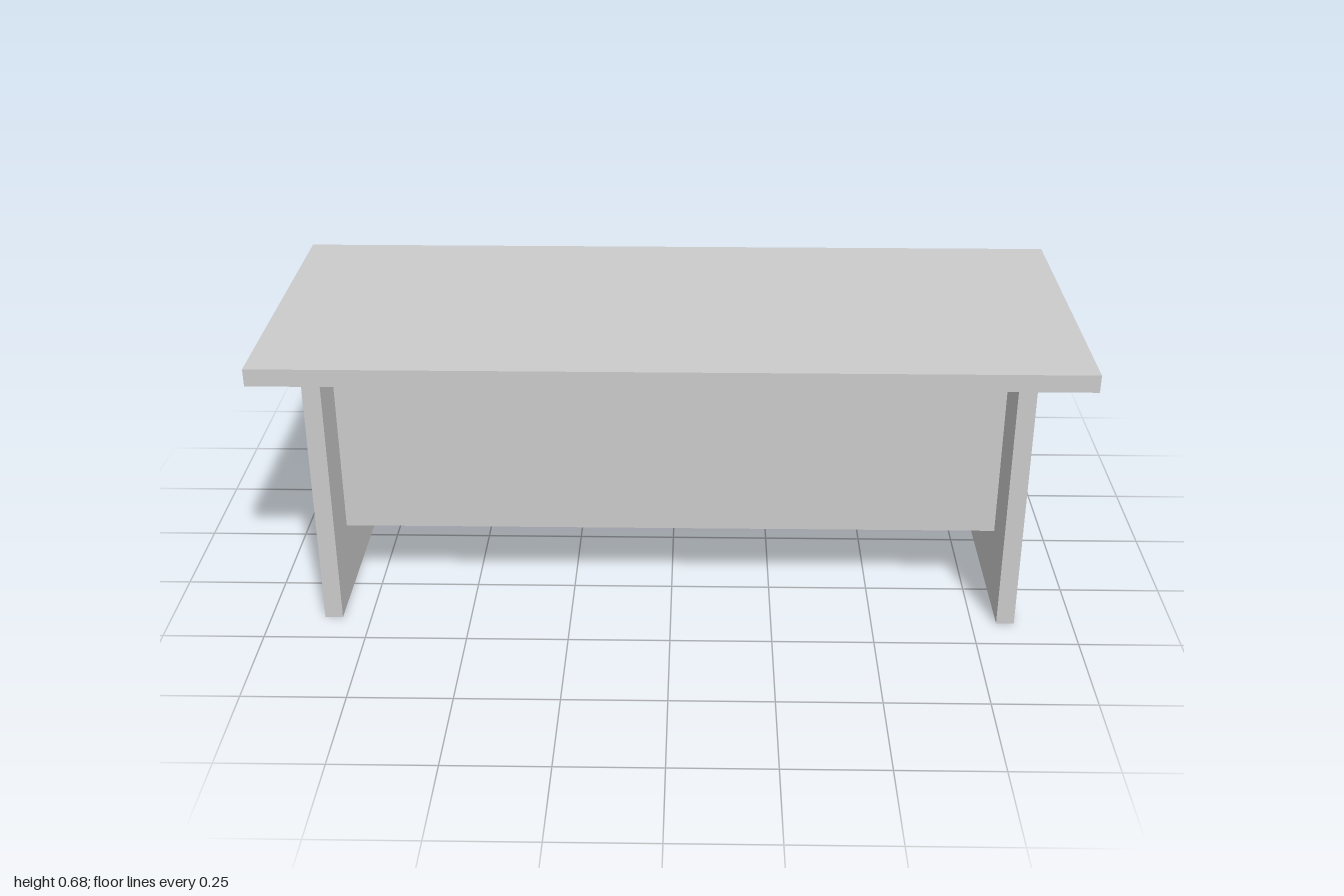
import * as THREE from 'three';

const material = new THREE.MeshStandardMaterial({ color: 0xcccccc });

// Box given by its minimum and maximum corners
function board(name, [x0, y0, z0], [x1, y1, z1]) {
  const geometry = new THREE.BoxGeometry(x1 - x0, y1 - y0, z1 - z0);
  const mesh = new THREE.Mesh(geometry, material);
  mesh.name = name;
  mesh.position.set((x0 + x1) / 2, (y0 + y1) / 2, (z0 + z1) / 2);
  return mesh;
}

export function createModel() {
  const group = new THREE.Group();
  group.name = 'desk';

  const halfDepth = 0.409;
  const underside = 0.639;

  // Overhanging top
  group.add(board('tabletop', [-1, underside, -halfDepth], [1, 0.683, halfDepth]));

  // Full-depth slab legs, set very slightly off centre
  group.add(board('rightLeg', [-0.866, 0, -halfDepth], [-0.822, underside, halfDepth]));
  group.add(board('leftLeg', [0.812, 0, -halfDepth], [0.856, underside, halfDepth]));

  // Modesty panel between the legs, recessed from the front
  group.add(board('modestyPanel', [-0.822, 0.187, 0.238], [0.812, underside, 0.273]));

  return group;
}
